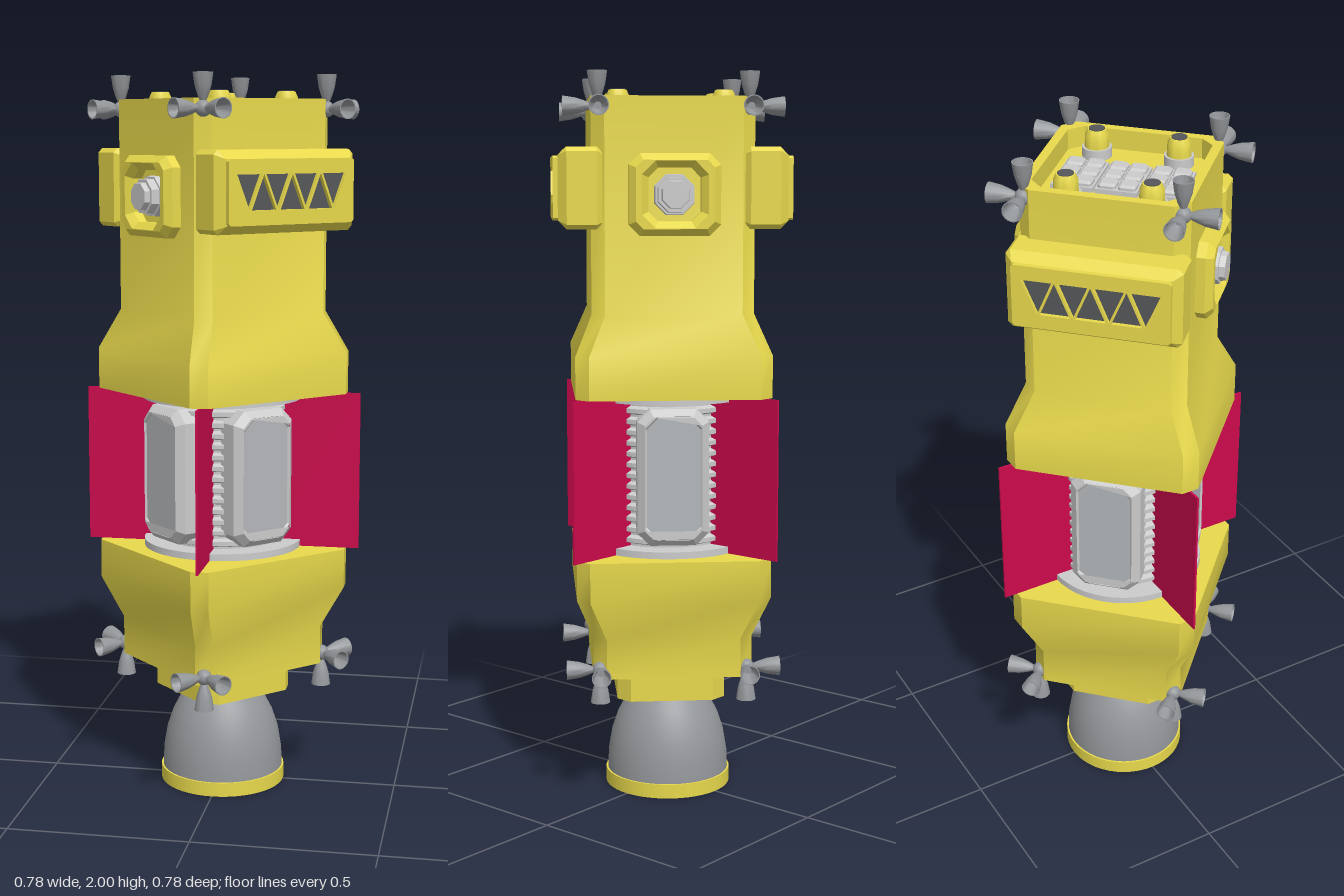
import * as THREE from 'three';
import { toCreasedNormals } from 'three/addons/utils/BufferGeometryUtils.js';

const mat = (color, side = THREE.FrontSide) => new THREE.MeshStandardMaterial({ color, side });
const yellow = mat(0xe8d94c);
const grey = mat(0xcccccc);
const metal = mat(0x94979a, THREE.DoubleSide);
const dark = mat(0x55575a);
const magenta = mat(0xcc0a4c);

function add(parent, name, geometry, material, x = 0, y = 0, z = 0) {
  const mesh = new THREE.Mesh(geometry, material);
  mesh.name = name;
  mesh.position.set(x, y, z);
  parent.add(mesh);
  return mesh;
}

function group(parent, name, rotationY = 0) {
  const g = new THREE.Group();
  g.name = name;
  g.rotation.y = rotationY;
  parent.add(g);
  return g;
}

// Skin through chamfered square rings, each [y, half width]
function loft(rings, chamfer = 0.035) {
  const pos = [], index = [];
  for (const [y, a] of rings) {
    const b = a - Math.min(chamfer, a);
    for (let q = 0; q < 4; q++) {
      const c = Math.round(Math.cos(q * Math.PI / 2)), s = Math.round(Math.sin(q * Math.PI / 2));
      for (const [u, v] of [[a, b], [b, a]]) pos.push(u * c - v * s, y, -(u * s + v * c));
    }
  }
  for (let r = 0; r < rings.length - 1; r++) {
    for (let i = 0; i < 8; i++) {
      const a = r * 8 + i, b = r * 8 + (i + 1) % 8;
      index.push(a, b, b + 8, a, b + 8, a + 8);
    }
  }
  const g = new THREE.BufferGeometry();
  g.setAttribute('position', new THREE.Float32BufferAttribute(pos, 3));
  g.setIndex(index);
  return toCreasedNormals(g, 0.6);
}

const polygon = (Type, pts) => new Type(pts.map(([x, y]) => new THREE.Vector2(x, y)));

// Rectangle with cut corners
const octagon = (w, h, c, Type = THREE.Shape) => polygon(Type, [
  [w - c, -h], [w, c - h], [w, h - c], [w - c, h],
  [c - w, h], [-w, h - c], [-w, c - h], [c - w, -h]]);

// Plate with bevelled edges whose face lies at z = front
function plate(shape, front, depth, bevel = 0) {
  const g = new THREE.ExtrudeGeometry(shape, {
    depth, bevelEnabled: bevel > 0, bevelThickness: bevel, bevelSize: bevel,
    bevelOffset: -bevel, bevelSegments: 1 });
  return g.translate(0, 0, front - depth - bevel);
}

const lathe = (pts, segments = 32) => toCreasedNormals(
  new THREE.LatheGeometry(pts.map(([r, y]) => new THREE.Vector2(r, y)), segments), 0.6);

// Row of alternating triangles
function ventTriangles(Type) {
  const out = [];
  for (let i = 0; i < 7; i++) {
    const x = (i - 3) * 0.046, s = i % 2 ? 1 : -1;
    out.push(polygon(Type, [[x - 0.039, -0.046 * s], [x + 0.039, -0.046 * s], [x, 0.046 * s]]));
  }
  return out;
}

// Three small nozzles on a hub; end = 1 points up, -1 points down
const smallBell = lathe([[0.009, 0], [0.015, 0.015], [0.022, 0.038], [0.027, 0.072],
  [0.024, 0.072], [0.018, 0.038], [0.01, 0.02], [0.001, 0.018]], 20);
const hub = new THREE.SphereGeometry(0.022, 16, 10);
function thrusterCluster(parent, y, end) {
  const g = group(parent, 'thrusterCluster');
  g.position.set(0.285, y, 0);
  add(g, 'thrusterHub', hub, metal);
  const axial = add(g, 'axialThruster', smallBell, metal, 0, end * 0.02, 0);
  if (end < 0) axial.rotation.x = Math.PI;
  for (const s of [-1, 1]) {
    const dir = new THREE.Vector3(1, 0, s).normalize();
    const bell = add(g, 'sideThruster', smallBell, metal, dir.x * 0.02, 0, dir.z * 0.02);
    bell.quaternion.setFromUnitVectors(new THREE.Vector3(0, 1, 0), dir);
  }
}

export function createModel() {
  const model = new THREE.Group();
  model.name = 'spacecraft';
  const hull = group(model, 'hull', Math.PI / 4);

  // Hull halves and engine skirt
  add(hull, 'upperHull', loft([[1.135, 0.001], [1.135, 0.265], [1.25, 0.265], [1.36, 0.219],
    [1.935, 0.219], [1.935, 0.194], [1.88, 0.194], [1.88, 0.001]]), yellow);
  add(hull, 'lowerHull', loft([[0.36, 0.001], [0.36, 0.219], [0.47, 0.219], [0.585, 0.265],
    [0.695, 0.265], [0.695, 0.001]]), yellow);
  add(hull, 'engineSkirt', loft([[0.34, 0.001], [0.34, 0.125], [0.275, 0.125], [0.275, 0.15],
    [0.37, 0.15]]), yellow);

  // Main engine
  add(model, 'engineBell', lathe([[0.172, 0.035], [0.17, 0.09], [0.16, 0.15], [0.143, 0.2],
    [0.122, 0.24], [0.1, 0.27], [0.075, 0.295], [0.06, 0.34], [0.05, 0.34], [0.06, 0.295],
    [0.09, 0.262], [0.132, 0.2], [0.15, 0.15], [0.16, 0.09], [0.162, 0.035]], 48), metal);
  add(model, 'engineThroat', new THREE.CylinderGeometry(0.055, 0.055, 0.03, 32), grey, 0, 0.32, 0);
  add(model, 'engineRim', lathe([[0.155, 0], [0.177, 0], [0.177, 0.04], [0.155, 0.04], [0.155, 0]], 48),
    mat(0xe8d94c, THREE.DoubleSide));

  // Ribbed core between the hull halves
  const ribs = [[0.16, 0.7]];
  for (let i = 0; i < 13; i++) {
    const y = 0.72 + i * 0.03;
    ribs.push([0.16, y], [0.178, y + 0.006], [0.178, y + 0.018], [0.16, y + 0.024]);
  }
  ribs.push([0.16, 1.13]);
  add(model, 'ribbedCore', lathe(ribs, 40), grey);
  for (const y of [0.704, 1.126])
    add(model, 'coreFlange', new THREE.CylinderGeometry(0.222, 0.222, 0.02, 48), grey, 0, y, 0);

  // Framed panels around the core
  const frame = octagon(0.098, 0.188, 0.035);
  frame.holes.push(octagon(0.058, 0.15, 0.022, THREE.Path));
  const frameGeo = plate(frame, 0.212, 0.06, 0.02);
  const windowGeo = plate(octagon(0.08, 0.165, 0.022), 0.207, 0.05);
  for (let k = 0; k < 4; k++) {
    const side = group(hull, 'corePanel', k * Math.PI / 2);
    side.position.y = 0.915;
    add(side, 'panelFrame', frameGeo, grey);
    add(side, 'panelWindow', windowGeo, mat(0xb4b7ba));
  }

  // Fins and thruster clusters at the four corners
  for (let k = 0; k < 4; k++) {
    const corner = group(model, 'corner', k * Math.PI / 2);
    add(corner, 'fin', new THREE.BoxGeometry(0.24, 0.44, 0.006), magenta, 0.268, 0.915, 0);
    thrusterCluster(corner, 1.908, 1);
    thrusterCluster(corner, 0.385, -1);
  }

  // Equipment boxes with triangular vents, and docking ports on the other two faces
  const face = octagon(0.203, 0.085, 0.006);
  face.holes.push(...ventTriangles(THREE.Path));
  const faceGeo = plate(face, 0.32, 0.014);
  const boxGeo = plate(octagon(0.226, 0.108, 0.012), 0.307, 0.08, 0.023);
  const ventGeo = new THREE.ShapeGeometry(ventTriangles(THREE.Shape)).translate(0, 0, 0.3085);
  const portShape = octagon(0.122, 0.108, 0.03);
  portShape.holes.push(octagon(0.07, 0.07, 0.025, THREE.Path));
  const portGeo = plate(portShape, 0.262, 0.04, 0.018);
  for (const turn of [0, Math.PI]) {
    const box = group(hull, 'equipmentBox', turn);
    box.position.y = 1.695;
    add(box, 'boxBody', boxGeo, yellow);
    add(box, 'boxFace', faceGeo, yellow);
    add(box, 'vents', ventGeo, dark);

    const port = group(hull, 'dockingPort', turn + Math.PI / 2);
    port.position.y = 1.678;
    add(port, 'portHousing', portGeo, yellow);
    for (const [r, len, z] of [[0.06, 0.03, 0.222], [0.052, 0.05, 0.235], [0.04, 0.02, 0.266]]) {
      const stub = add(port, 'portStub', new THREE.CylinderGeometry(r * 0.93, r, len, 8)
        .toNonIndexed(), grey, 0, 0, z);
      stub.geometry.computeVertexNormals();
      stub.geometry.rotateY(Math.PI / 8).rotateX(Math.PI / 2);
    }
  }

  // Roof tiles: three trays of two by three
  const tileGeo = plate(octagon(0.023, 0.023, 0.006), 0.025, 0.012, 0.006).rotateX(-Math.PI / 2);
  for (let b = -1; b <= 1; b++) {
    const tray = group(hull, 'roofTray');
    tray.position.set(b * 0.115, 1.88, 0);
    add(tray, 'trayBase', new THREE.BoxGeometry(0.11, 0.02, 0.162), grey, 0, 0.002, 0);
    for (const i of [-0.5, 0.5])
      for (let j = -1; j <= 1; j++) add(tray, 'roofTile', tileGeo, grey, i * 0.052, 0, j * 0.052);
  }

  // Roof posts
  const post = lathe([[0.034, 0], [0.032, 0.035], [0.031, 0.06], [0.024, 0.075], [0.001, 0.075]], 24);
  for (const x of [-0.11, 0.11]) {
    for (const z of [-0.143, 0.143]) {
      const g = group(hull, 'roofPost');
      g.position.set(x, 1.88, z);
      add(g, 'postCollar', new THREE.CylinderGeometry(0.039, 0.039, 0.03, 24), grey, 0, 0.012, 0);
      add(g, 'postBody', post, yellow);
      add(g, 'postCap', new THREE.CylinderGeometry(0.021, 0.021, 0.006, 24), dark, 0, 0.074, 0);
    }
  }
  return model;
}
